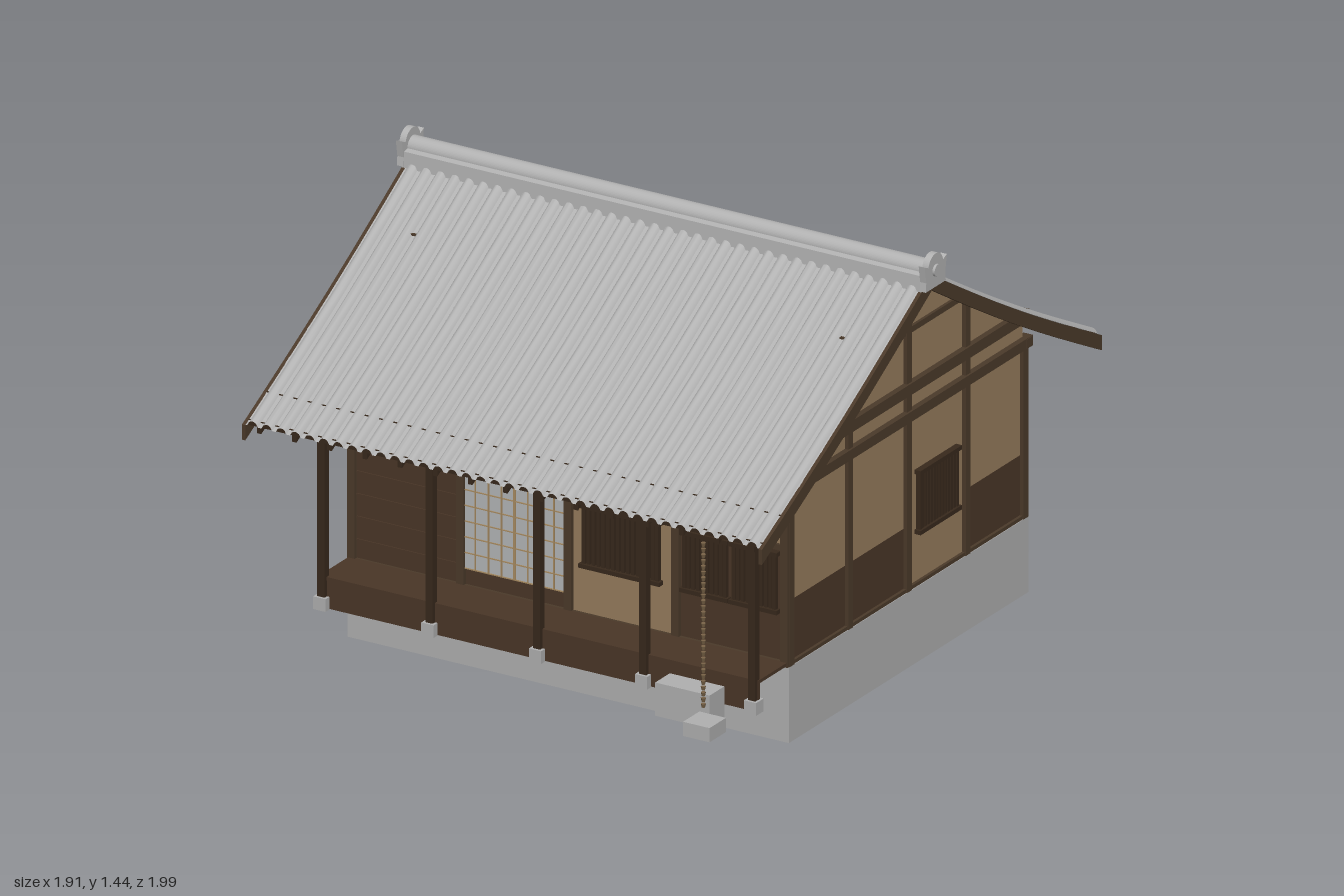
import * as THREE from 'three';
import { toCreasedNormals } from 'three/addons/utils/BufferGeometryUtils.js';

const mat = (name, color, side = THREE.FrontSide) => {
  const m = new THREE.MeshStandardMaterial({ color, side });
  m.name = name;
  return m;
};

export function createModel() {
  const M = {
    stone: mat('stone', 0xb0b0b0),
    tile: mat('roofTile', 0xb2b2b2, THREE.DoubleSide),
    timber: mat('darkTimber', 0x38291c),
    beam: mat('beamTimber', 0x4b3a2a),
    board: mat('brownBoard', 0x4a3627),
    plaster: mat('tanPlaster', 0x967c5d, THREE.DoubleSide),
    paper: mat('paper', 0xb4b6b8),
    lattice: mat('lightLattice', 0xa98c62),
    bronze: mat('bronze', 0x7a6448),
  };
  const model = new THREE.Group();
  model.name = 'house';

  const add = (parent, name, geo, m) => {
    const mesh = new THREE.Mesh(geo, m);
    mesh.name = name;
    parent.add(mesh);
    return mesh;
  };
  const box = (parent, name, m, x0, x1, y0, y1, z0, z1) => {
    const mesh = add(parent, name, new THREE.BoxGeometry(x1 - x0, y1 - y0, z1 - z0), m);
    mesh.position.set((x0 + x1) / 2, (y0 + y1) / 2, (z0 + z1) / 2);
    return mesh;
  };
  const group = (name) => {
    const g = new THREE.Group();
    g.name = name;
    model.add(g);
    return g;
  };

  // Roof height at distance d from the ridge, with a slight sag
  const RUN = 0.985;
  const roofY = (d) => 1.368 - 0.5625 * d - 0.015 * Math.sin((Math.PI * d) / RUN);

  // Hollow foundation and floor
  const base = group('foundation');
  box(base, 'foundationFront', M.stone, -0.785, 0.785, 0, 0.25, 0.585, 0.597);
  box(base, 'foundationBack', M.stone, -0.785, 0.785, 0, 0.25, -0.79, -0.778);
  for (const s of [-1, 1]) box(base, 'foundationSide', M.stone, s * 0.784 - 0.006, s * 0.784 + 0.006, 0, 0.25, -0.79, 0.597);
  box(base, 'floor', M.stone, -0.78, 0.78, 0.24, 0.25, -0.78, 0.59);

  // Wall frames: local x runs along the wall, local z points outward
  const wall = (name, x, z, turn) => {
    const g = group(name);
    g.position.set(x, 0, z);
    g.rotation.y = turn;
    return g;
  };
  const panel = (g, m, u0, u1, y0, y1) => box(g, 'wallPanel', m, u0, u1, y0, y1, -0.02, 0);
  const rail = (g, u0, u1, y0, y1, out = 0.01) => box(g, 'rail', M.beam, u0, u1, y0, y1, -0.015, out);
  const post = (g, u, y0, y1) => box(g, 'wallPost', M.beam, u - 0.014, u + 0.014, y0, y1, -0.018, 0.013);

  // Barred window
  const barWindow = (g, u0, u1, y0 = 0.42, y1 = 0.632) => {
    box(g, 'windowPaper', M.paper, u0 + 0.012, u1 - 0.012, y0 + 0.01, y1 - 0.01, 0, 0.003);
    for (const y of [y0, y1 - 0.014]) box(g, 'windowRail', M.timber, u0, u1, y, y + 0.014, 0, 0.022);
    for (const u of [u0 + 0.008, u1 - 0.02]) box(g, 'windowJamb', M.timber, u, u + 0.012, y0, y1, 0, 0.016);
    const n = Math.round((u1 - u0) / 0.019);
    for (let i = 1; i < n; i++) {
      const u = u0 + 0.012 + ((u1 - u0 - 0.024) * i) / n;
      box(g, 'windowBar', M.timber, u - 0.0055, u + 0.0055, y0, y1, 0.003, 0.014);
    }
  };

  // Paper screen with a light grid
  const screen = (g, u0, u1, y0, y1, cols, rows) => {
    box(g, 'screenPaper', M.paper, u0, u1, y0, y1, 0, 0.004);
    for (let i = 0; i <= cols; i++) {
      const u = u0 + ((u1 - u0) * i) / cols;
      const w = i % (cols / 2) ? 0.0018 : 0.004;
      box(g, 'screenUpright', M.lattice, u - w, u + w, y0, y1, 0.002, 0.008);
    }
    for (let j = 0; j <= rows; j++) {
      const y = y0 + ((y1 - y0) * j) / rows;
      box(g, 'screenBar', M.lattice, u0, u1, y - 0.0018, y + 0.0018, 0.002, 0.007);
    }
  };
  const slidingDoor = (g, u0, u1) => {
    panel(g, M.board, u0, u1, 0.25, 0.64);
    screen(g, u0 + 0.005, u1 - 0.005, 0.32, 0.632, 8, 6);
  };

  const bays = [[-0.77, -0.385], [-0.385, 0], [0, 0.385], [0.385, 0.77]];

  // Front and back walls
  const front = wall('frontWall', 0, 0.59, 0);
  const back = wall('backWall', 0, -0.778, Math.PI);
  for (const [g, top] of [[front, 0.98], [back, 0.89]]) {
    panel(g, M.plaster, -0.775, 0.775, 0.645, top);
    for (const u of [-0.775, -0.385, 0, 0.385, 0.775]) post(g, u, 0.25, 0.83);
    rail(g, -0.775, 0.775, 0.745, 0.765);
    rail(g, -0.8, 0.8, 0.815, 0.845, 0.016);
    rail(g, -0.775, 0.775, 0.25, 0.266);
  }
  panel(front, M.board, ...bays[0], 0.25, 0.645);
  for (let i = 1; i < 5; i++) box(front, 'boardLap', M.board, -0.76, -0.4, 0.25 + i * 0.075, 0.255 + i * 0.075, 0, 0.004);
  slidingDoor(front, ...bays[1]);
  panel(front, M.plaster, ...bays[2], 0.25, 0.645);
  barWindow(front, 0.045, 0.335);
  panel(front, M.board, ...bays[3], 0.25, 0.645);
  barWindow(front, 0.405, 0.578, 0.42, 0.625);
  barWindow(front, 0.582, 0.755, 0.42, 0.625);
  for (const i of [0, 1, 3]) rail(front, ...bays[i], 0.632, 0.65);

  panel(back, M.plaster, ...bays[0], 0.25, 0.645);
  barWindow(back, -0.72, -0.43);
  panel(back, M.plaster, ...bays[1], 0.25, 0.645);
  slidingDoor(back, ...bays[2]);
  panel(back, M.plaster, ...bays[3], 0.25, 0.645);
  for (const i of [1, 2, 3]) rail(back, ...bays[i], 0.632, 0.65);

  // Gable walls, mirrored in layout
  const postZ = [0.58, 0.24, -0.1, -0.44, -0.775];
  for (const s of [1, -1]) {
    const g = wall(s > 0 ? 'rightGableWall' : 'leftGableWall', s * 0.778, 0, (s * Math.PI) / 2);
    const span = (a, b) => (s > 0 ? [-a, -b] : [b, a]);
    for (let i = 0; i < 4; i++) {
      const u = span(postZ[i], postZ[i + 1]);
      const split = i === 2 ? 0.25 : 0.46;
      if (i !== 2) panel(g, M.board, ...u, 0.25, split);
      panel(g, M.plaster, ...u, split, 0.84);
    }
    const shape = new THREE.Shape();
    const outline = [[0.58, 0.83], [0.58, roofY(0.58) - 0.02], [0.3, roofY(0.3) - 0.02], [0.08, 1.262],
      [-0.1, 1.262], [-0.3, roofY(0.3) - 0.02], [-0.775, roofY(0.775) - 0.02], [-0.775, 0.83]];
    shape.setFromPoints(outline.map(([z, y]) => new THREE.Vector2(-s * z, y)));
    add(g, 'gablePlaster', new THREE.ExtrudeGeometry(shape, { depth: 0.02, bevelEnabled: false }), M.plaster).position.z = -0.02;
    for (const z of postZ) post(g, -s * z, 0.25, Math.abs(z) > 0.5 ? 0.83 : roofY(Math.abs(z)) - 0.01);
    rail(g, ...span(0.597, -0.79), 0.25, 0.262);
    rail(g, ...span(0.6, -0.805), 0.813, 0.847, 0.02);
    rail(g, ...span(0.59, -0.785), 0.902, 0.94, 0.02);
    rail(g, ...span(0.24, -0.44), 1.1, 1.12);
    const w = span(-0.15, -0.39);
    if (s > 0) barWindow(g, ...w);
    else {
      box(g, 'windowFrame', M.timber, w[0], w[1], 0.42, 0.635, 0, 0.003);
      screen(g, w[0] + 0.01, w[1] - 0.01, 0.43, 0.625, 4, 4);
      for (const y of [0.42, 0.625]) box(g, 'windowRail', M.timber, w[0], w[1], y, y + 0.012, 0, 0.018);
    }
  }

  // Veranda
  const porch = group('veranda');
  box(porch, 'deck', M.board, -0.785, 0.785, 0.255, 0.266, 0.597, 0.768);
  box(porch, 'deckSkirt', M.board, -0.785, 0.785, 0.162, 0.255, 0.757, 0.767);
  for (const x of [-0.772, -0.385, 0, 0.38, 0.77]) {
    box(porch, 'verandaPost', M.timber, x - 0.013, x + 0.013, 0.2, 0.83, 0.755, 0.781);
    box(porch, 'postStone', M.stone, x - 0.022, x + 0.022, 0.16, 0.202, 0.746, 0.79);
  }
  box(porch, 'verandaBeam', M.timber, -0.79, 0.79, 0.815, 0.845, 0.747, 0.787);
  box(porch, 'stepStone', M.stone, 0.48, 0.675, 0.12, 0.23, 0.785, 0.87);

  // Rain chain and basin
  box(porch, 'chainBasin', M.stone, 0.66, 0.755, 0.14, 0.187, 0.905, 1);
  for (let y = 0.235; y < 0.78; y += 0.019) {
    const link = add(porch, 'chainLink', new THREE.CylinderGeometry(0.008, 0.005, 0.013, 6), M.bronze);
    link.position.set(0.705, y, 0.955);
  }

  // Roof: ribbed tile sheets, verge boards, rafters and battens on both slopes
  const roof = group('roof');
  const COLS = 36, STEPS = 8, HALF = 0.92;
  for (const s of [1, -1]) {
    const geo = new THREE.PlaneGeometry(2 * HALF, RUN, COLS * STEPS, 10);
    const p = geo.attributes.position;
    for (let i = 0; i < p.count; i++) {
      const x = p.getX(i), d = RUN / 2 - p.getY(i);
      const t = (((x + HALF) / (2 * HALF)) * COLS) % 1;
      const rib = 0.016 * Math.sqrt(Math.max(0, 1 - ((t - 0.5) / 0.34) ** 2));
      p.setXYZ(i, s * x, roofY(d) + rib - 0.004, s * d - 0.006);
    }
    add(roof, 'tileSlope', toCreasedNormals(geo, 0.7), M.tile);

    const strip = (d0, d1, drop, depth) => {
      const pts = [];
      for (let i = 0; i <= 8; i++) pts.push(new THREE.Vector2(d0 + ((d1 - d0) * i) / 8, 0));
      pts.forEach((v) => (v.y = roofY(v.x) - drop));
      const low = pts.map((v) => new THREE.Vector2(v.x, v.y - depth)).reverse();
      return new THREE.Shape([...pts, ...low]);
    };
    const alongSlope = (name, shape, x, w, m) => {
      const mesh = add(roof, name, new THREE.ExtrudeGeometry(shape, { depth: w, bevelEnabled: false }), m);
      mesh.rotation.y = -s * Math.PI / 2;
      mesh.position.set(x + (s * w) / 2, 0, -0.004);
    };
    for (const x of [-0.925, 0.925]) alongSlope('vergeBoard', strip(0, RUN, 0.005, 0.05), x, 0.012, M.beam);
    const inner = s > 0 ? 0.57 : 0.76;
    for (let i = 0; i < 15; i++) alongSlope('rafter', strip(inner, 0.965, 0.012, 0.03), -0.882 + i * 0.126, 0.016, M.timber);
    for (const d of [0.85, 0.955]) {
      const z = s * d - 0.004;
      box(roof, 'eaveBatten', M.timber, -0.92, 0.92, roofY(d) - 0.026, roofY(d) - 0.008, z - 0.01, z + 0.01);
    }
  }

  // Ridge cap
  const cap = new THREE.Shape();
  cap.moveTo(-0.056, 1.325);
  cap.lineTo(0.056, 1.325);
  cap.lineTo(0.052, 1.378);
  cap.lineTo(0.032, 1.382);
  cap.absarc(0, 1.382, 0.032, 0, Math.PI);
  cap.lineTo(-0.052, 1.378);
  const ridge = add(roof, 'ridgeCap', new THREE.ExtrudeGeometry(cap, { depth: 1.86, bevelEnabled: false }), M.tile);
  ridge.rotation.y = Math.PI / 2;
  ridge.position.x = -0.93;

  // Ridge end ornaments
  const end = new THREE.Shape();
  end.moveTo(-0.058, 1.33);
  end.lineTo(0.058, 1.33);
  end.lineTo(0.055, 1.36);
  end.lineTo(0.064, 1.415);
  end.lineTo(0.042, 1.405);
  end.absarc(0, 1.397, 0.043, 0.2, Math.PI - 0.2);
  end.lineTo(-0.064, 1.415);
  end.lineTo(-0.055, 1.36);
  for (const s of [-1, 1]) {
    const mesh = add(roof, 'ridgeEnd', new THREE.ExtrudeGeometry(end, { depth: 0.022, bevelEnabled: false }), M.tile);
    mesh.rotation.y = Math.PI / 2;
    mesh.position.x = s * 0.936 - 0.011;
    const knob = add(roof, 'ridgeKnob', new THREE.CylinderGeometry(0.02, 0.02, 0.01, 16), M.tile);
    knob.rotation.z = Math.PI / 2;
    knob.position.set(s * 0.95, 1.385, 0);
  }
  return model;
}
